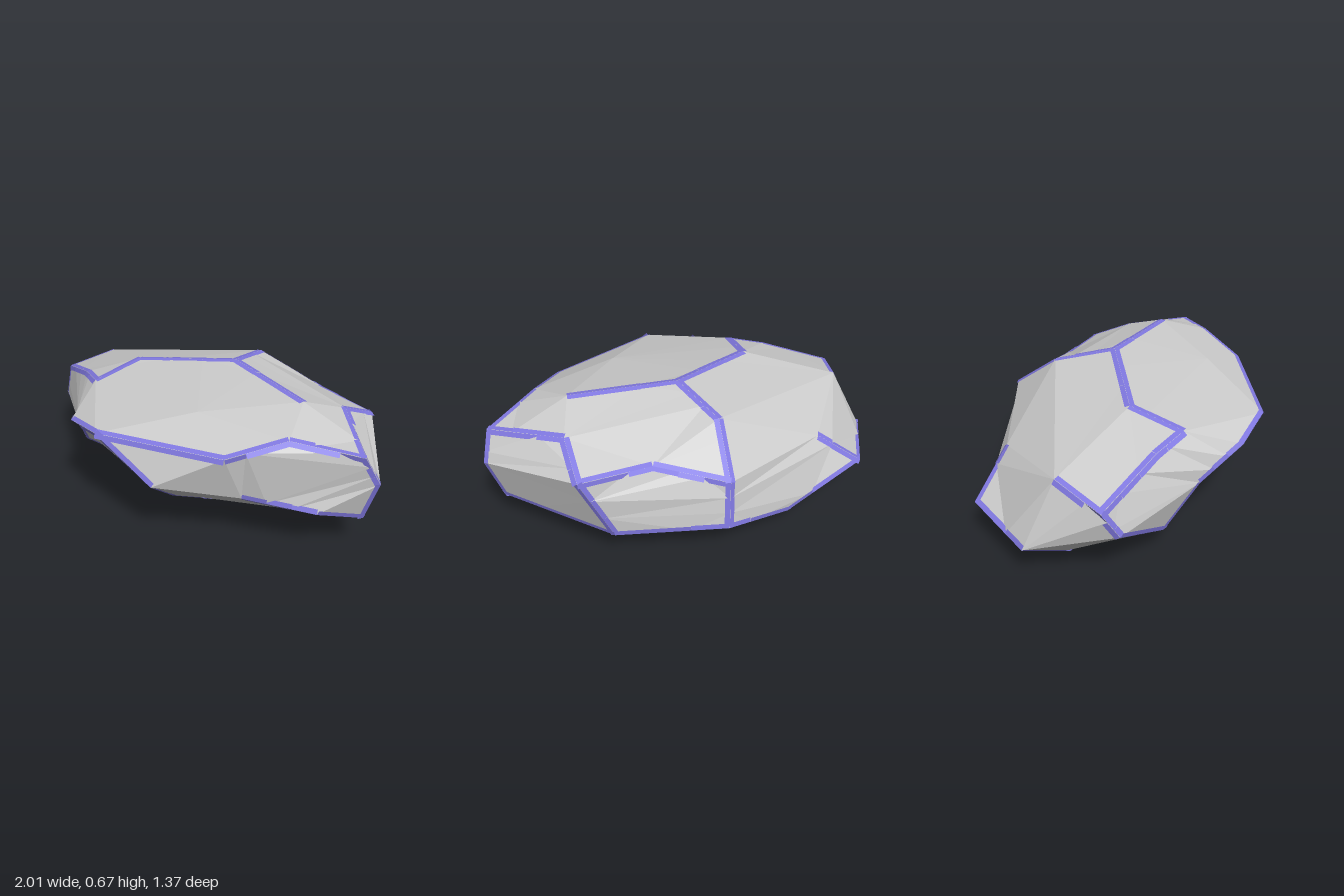
import * as THREE from 'three';
import { ConvexGeometry } from 'three/addons/geometries/ConvexGeometry.js';

// corners of the faceted stone
const corners = [
  [.06, .67, -.1], [0, .61, -.4], [.07, .43, -.64], [.09, .2, -.68], [-.43, .61, .09],
  [-.5, .55, .35], [.57, .65, .05], [.36, .49, -.44], [.7, .47, -.38], [.67, .57, -.16],
  [.95, .53, .13], [1, .39, .07], [.93, .18, .06], [.66, .58, .29], [.47, .51, .5],
  [-.15, .5, .68], [.18, .33, .66], [.08, .12, .41], [.36, .03, .08], [-.25, .14, .3],
  [-.67, .13, .3], [-.56, .33, .44], [-.4, .46, .61], [.5, .28, .41], [.8, .24, .25],
  [-1, .41, .1], [-.96, .28, .17], [-.67, .52, .26], [.2, .6, .36], [-.88, .47, -.13],
  [-1, .17, -.25], [-.76, .21, -.56], [-.53, .39, -.48], [-.28, .11, -.62], [.56, .16, -.44],
  [-.07, .03, -.1], [-.3, 0, -.23], [-.53, .04, 0], [-.9, .12, -.09],
];

// coloured seams, as runs of corner numbers
const seams = [
  [6, 0, 1, 2, 3], [0, 4, 5, 27, 25, 29], [2, 7, 8, 9, 10, 13, 14, 15, 22, 21, 20],
  [10, 11, 12, 18, 35, 36, 37, 38, 30, 31, 32], [15, 16, 17, 18], [23, 24, 12, 34, 3, 33, 36],
  [8, 34], [20, 19, 17], [25, 26, 20], [33, 31],
];

const STEPS = 3, HALF_WIDTH = 0.024, LIFT = 0.002;

function meshFrom(name, positions, color, side = THREE.FrontSide) {
  const geometry = new THREE.BufferGeometry();
  geometry.setAttribute('position', new THREE.Float32BufferAttribute(positions, 3));
  geometry.computeVertexNormals();
  const mesh = new THREE.Mesh(geometry, new THREE.MeshStandardMaterial({ color, flatShading: true, side }));
  mesh.name = name;
  return mesh;
}

export function createModel() {
  const points = corners.map(c => new THREE.Vector3(...c));

  // split the seams into short pieces so the facets follow them
  const pieces = [];
  for (const run of seams) {
    for (let i = 0; i + 1 < run.length; i++) {
      let last = run[i];
      for (let s = 1; s <= STEPS; s++) {
        let next = run[i + 1];
        if (s < STEPS) {
          next = points.length;
          points.push(points[run[i]].clone().lerp(points[run[i + 1]], s / STEPS));
        }
        pieces.push([last, next]);
        last = next;
      }
    }
  }

  // spread the points over a sphere and use its hull to join neighbours
  const directions = points.map(p => new THREE.Vector3(p.x, (p.y - 0.33) * 2.7, p.z * 1.4).normalize());
  const hull = new ConvexGeometry(directions).getAttribute('position');
  const v = new THREE.Vector3();
  const ids = [];
  for (let i = 0; i < hull.count; i++) {
    v.fromBufferAttribute(hull, i);
    let best = 0;
    directions.forEach((d, k) => {
      if (d.distanceToSquared(v) < directions[best].distanceToSquared(v)) best = k;
    });
    ids.push(best);
  }

  const group = new THREE.Group();
  group.name = 'rock';
  group.add(meshFrom('stone', ids.flatMap(k => points[k].toArray()), 0xcccccc));

  // index the facets by their edges
  const thirdCorner = new Map();
  for (let i = 0; i < ids.length; i += 3) {
    for (let e = 0; e < 3; e++) {
      thirdCorner.set(ids[i + e] + '_' + ids[i + (e + 1) % 3], ids[i + (e + 2) % 3]);
    }
  }

  // lay a narrow strip on the facet at each side of a seam
  const strips = [];
  const addStrip = (a, b) => {
    const third = thirdCorner.get(a + '_' + b);
    if (third === undefined) return;
    const p = points[a], q = points[b];
    const along = q.clone().sub(p).normalize();
    const normal = along.clone().cross(points[third].clone().sub(p)).normalize();
    const inward = normal.clone().cross(along).multiplyScalar(HALF_WIDTH);
    const lift = normal.multiplyScalar(LIFT);
    const p0 = p.clone().add(lift), q0 = q.clone().add(lift);
    const p1 = p0.clone().add(inward), q1 = q0.clone().add(inward);
    for (const c of [p0, q0, q1, p0, q1, p1]) strips.push(...c.toArray());
  };
  for (const [a, b] of pieces) {
    addStrip(a, b);
    addStrip(b, a);
  }
  group.add(meshFrom('seams', strips, 0x8078e0, THREE.DoubleSide));
  return group;
}
